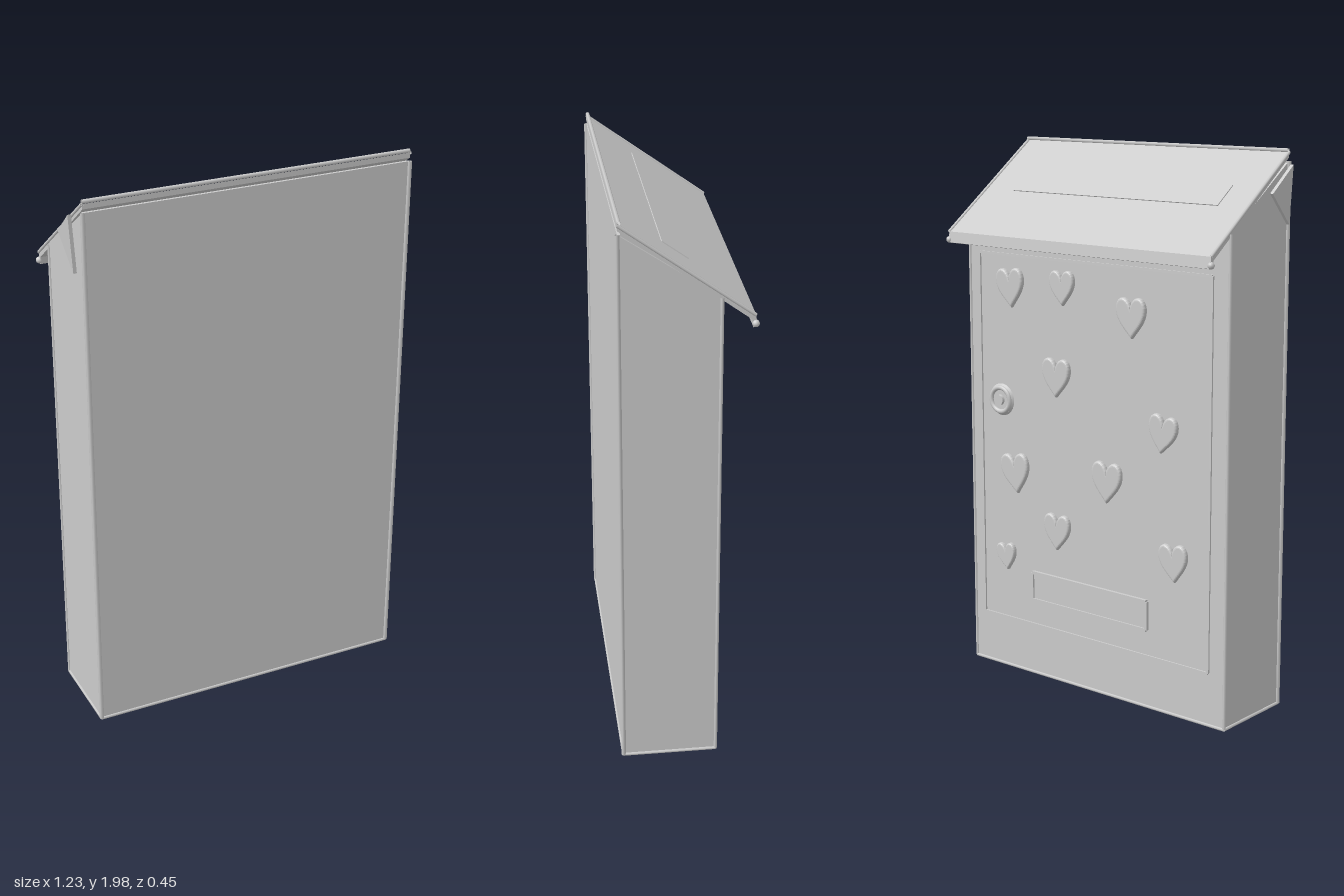
import * as THREE from 'three';

const X0 = -0.58, X1 = 0.6, MID = 0.01, WIDTH = X1 - X0;
const BACK = 0.21, FRONT = -0.115, FLOOR = 0.025;
const roofY = z => 1.985 - (BACK - z) * 0.72;
const mat = new THREE.MeshStandardMaterial({ color: 0xcccccc, side: THREE.DoubleSide });

export function createModel() {
  const model = new THREE.Group();
  model.name = 'mailbox';

  const add = (name, geo, x = 0, y = 0, z = 0, parent = model) => {
    const m = new THREE.Mesh(geo, mat);
    m.name = name;
    m.position.set(x, y, z);
    parent.add(m);
    return m;
  };
  const box = (name, w, h, d, x, y, z, parent) => add(name, new THREE.BoxGeometry(w, h, d), x, y, z, parent);

  // Extrudes a [z, y] profile along x, from x1 down to x1 - width
  const sideExtrude = (name, pts, x1, width) => {
    const shape = new THREE.Shape(pts.map(p => new THREE.Vector2(...p)));
    const geo = new THREE.ExtrudeGeometry(shape, { depth: width, bevelEnabled: false });
    return add(name, geo.rotateY(-Math.PI / 2), x1);
  };
  // Thin rod between two points
  const rod = (name, a, b, r = 0.006) =>
    add(name, new THREE.TubeGeometry(new THREE.LineCurve3(new THREE.Vector3(...a), new THREE.Vector3(...b)), 1, r, 6));

  // Open-bottomed body made of sheet walls
  const t = 0.01, backTop = 1.955, frontTop = roofY(FRONT) - 0.015;
  box('backWall', WIDTH, backTop - FLOOR, t, MID, (backTop + FLOOR) / 2, BACK - t / 2);
  box('frontWall', WIDTH, frontTop - FLOOR, t, MID, (frontTop + FLOOR) / 2, FRONT + t / 2);
  const wall = [[BACK, FLOOR], [BACK, backTop], [FRONT, frontTop], [FRONT, FLOOR]];
  sideExtrude('leftWall', wall, X1, t);
  sideExtrude('rightWall', wall, X0 + t, t);

  // Rolled edges around the walls
  for (const x of [X0, X1]) {
    rod('backCornerEdge', [x, FLOOR, BACK], [x, backTop, BACK], 0.008);
    rod('frontCornerEdge', [x, FLOOR, FRONT], [x, frontTop, FRONT]);
    rod('bottomSideEdge', [x, FLOOR, BACK], [x, FLOOR, FRONT]);
  }
  for (const z of [BACK, FRONT]) rod('bottomEdge', [X0, FLOOR, z], [X1, FLOOR, z]);

  // Sloping lid with a turned-down front lip
  const lip = -0.222;
  sideExtrude('lid', [
    [BACK, roofY(BACK)], [lip, roofY(lip)], [lip - 0.005, 1.635], [lip + 0.008, 1.632],
    [lip + 0.012, roofY(lip) - 0.015], [BACK, roofY(BACK) - 0.018],
  ], X1, WIDTH);
  rod('lidBackEdge', [X0, 1.991, BACK - 0.005], [X1, 1.991, BACK - 0.005], 0.007);
  for (const x of [X0, X1]) {
    rod('lidSideEdge', [x, roofY(BACK), BACK], [x, roofY(lip), lip]);
    add('lidLipEnd', new THREE.SphereGeometry(0.012, 10, 8), x, 1.645, lip);
  }
  // Small hinge tab on the right side
  const tab = sideExtrude('hingeTab', [[0.18, 1.75], [0.18, 1.95], [0.07, 1.86]], X0 - 0.005, 0.012);
  tab.rotation.z = 0.06;
  tab.position.x += 0.095;

  // Shallow raised panel on the lid
  const lidPanel = new THREE.Group();
  lidPanel.name = 'lidPanel';
  lidPanel.position.set(0, roofY(0.016) + 0.001, 0.016);
  lidPanel.rotation.x = -Math.atan(0.72);
  model.add(lidPanel);
  box('lidPanelPlate', 0.92, 0.005, 0.105, 0, 0, 0, lidPanel);

  // Door face: local +z points outward, so local x is mirrored
  const face = new THREE.Group();
  face.name = 'door';
  face.position.z = FRONT;
  face.rotation.y = Math.PI;
  model.add(face);
  const frame = (name, x, y, w, h, s, d) => {
    for (const k of [-1, 1]) {
      box(name, w, s, d, -x, y + k * h / 2, d / 2, face);
      box(name, s, h, d, -x + k * w / 2, y, d / 2, face);
    }
  };
  frame('doorSeam', 0.02, 0.905, 1.06, 1.38, 0.009, 0.006);

  // Name plate with a raised rim
  box('namePlate', 0.54, 0.1, 0.006, -0.03, 0.366, 0.003, face);
  frame('namePlateRim', 0.03, 0.366, 0.54, 0.105, 0.012, 0.012);

  // Puffy hearts scattered over the door
  const heart = new THREE.Shape();
  heart.moveTo(0, -0.065);
  heart.bezierCurveTo(-0.02, -0.04, -0.06, -0.01, -0.056, 0.03);
  heart.bezierCurveTo(-0.052, 0.07, -0.01, 0.07, 0, 0.02);
  heart.bezierCurveTo(0.01, 0.07, 0.052, 0.07, 0.056, 0.03);
  heart.bezierCurveTo(0.06, -0.01, 0.02, -0.04, 0, -0.065);
  const heartGeo = new THREE.ExtrudeGeometry(heart, {
    depth: 0.006, bevelThickness: 0.009, bevelSize: 0.009, bevelOffset: -0.004, bevelSegments: 4, curveSegments: 10,
  });
  // x, y, scale, tilt
  const hearts = [
    [0.395, 1.48, 1.05, 0.1], [0.145, 1.5, 0.92, 0.05], [-0.17, 1.425, 1.05, 0.05], [0.176, 1.174, 1.05, 0],
    [-0.31, 1.037, 1, -0.1], [0.38, 0.79, 1.1, 0.15], [-0.06, 0.826, 1.1, 0], [0.176, 0.6, 1, 0],
    [0.43, 0.46, 0.75, 0.15], [-0.36, 0.586, 1, 0.1],
  ];
  for (const [x, y, s, tilt] of hearts) {
    const h = add('heart', heartGeo, -x, y, 0.002, face);
    h.scale.set(s, s, 1);
    h.rotation.z = tilt;
  }

  // Round lock
  const disc = (name, r, d) =>
    add(name, new THREE.CylinderGeometry(r * 0.9, r, d, 24).rotateX(Math.PI / 2), -0.45, 1.055, d / 2, face);
  disc('lockBase', 0.06, 0.008);
  disc('lockCore', 0.02, 0.018);
  add('lockRing', new THREE.TorusGeometry(0.045, 0.009, 8, 28), -0.45, 1.055, 0.008, face);

  return model;
}
